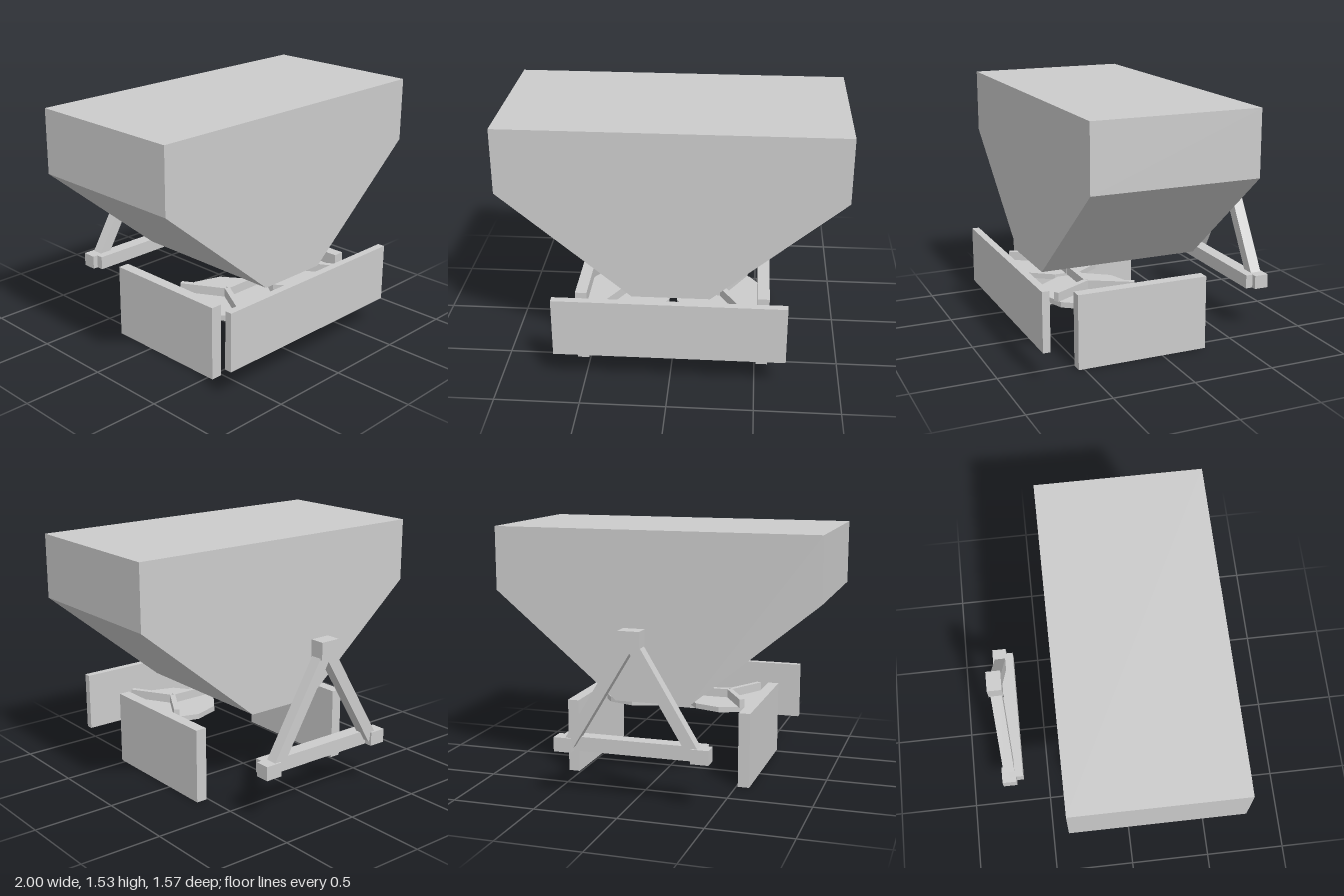
import * as THREE from 'three';

const material = new THREE.MeshStandardMaterial({ color: 0xcccccc, flatShading: true });

function add(parent, name, geometry, x = 0, y = 0, z = 0) {
  const mesh = new THREE.Mesh(geometry, material);
  mesh.name = name;
  mesh.position.set(x, y, z);
  parent.add(mesh);
  return mesh;
}

// Box given by its lower and upper corners
function box(parent, name, [x0, y0, z0], [x1, y1, z1]) {
  return add(parent, name, new THREE.BoxGeometry(x1 - x0, y1 - y0, z1 - z0),
    (x0 + x1) / 2, (y0 + y1) / 2, (z0 + z1) / 2);
}

export function createModel() {
  const model = new THREE.Group();
  model.name = 'spreader';

  // Hopper: funnel outline extruded front to back
  const outline = new THREE.Shape([
    [-0.23, 0.5], [0.23, 0.5], [1, 1.14], [1, 1.53], [-1, 1.53], [-1, 1.14],
  ].map(([x, y]) => new THREE.Vector2(x, y)));
  add(model, 'hopper', new THREE.ExtrudeGeometry(outline, { depth: 1, bevelEnabled: false }), 0, 0, -0.375);

  // Guard panels
  box(model, 'frontGuard', [-0.68, 0.185, 0.74], [0.68, 0.545, 0.785]);
  for (const s of [-1, 1]) {
    const side = s > 0 ? 'left' : 'right';
    add(model, side + 'Guard', new THREE.BoxGeometry(0.07, 0.457, 0.82), s * 0.545, 0.2285, 0.125);

    // Spinning disc with three radial vanes, mirrored on the other side
    const spinner = new THREE.Group();
    spinner.name = side + 'Spinner';
    spinner.position.set(s * 0.29, 0.35, 0.365);
    model.add(spinner);
    add(spinner, 'disc', new THREE.CylinderGeometry(0.28, 0.28, 0.033, 10), 0, 0.0165, 0);
    for (let i = 0; i < 3; i++) {
      const angle = (s > 0 ? Math.PI : 0) + i * Math.PI * 2 / 3;
      const vane = add(spinner, 'vane', new THREE.BoxGeometry(0.28, 0.055, 0.033),
        Math.cos(angle) * 0.145, 0.06, -Math.sin(angle) * 0.145);
      vane.rotation.y = angle;
    }
  }

  // Rear A-frame hitch
  const hitch = new THREE.Group();
  hitch.name = 'hitch';
  model.add(hitch);
  box(hitch, 'crossBar', [-0.43, 0.28, -0.735], [0.43, 0.365, -0.65]);
  box(hitch, 'topBlock', [-0.063, 0.905, -0.785], [0.063, 1.01, -0.695]);
  for (const s of [-1, 1]) {
    add(hitch, 'lowerBlock', new THREE.BoxGeometry(0.105, 0.085, 0.09), s * 0.41, 0.3225, -0.74);
    // Slanted leg from the lower block up to the top block
    const leg = add(hitch, 'leg', new THREE.BoxGeometry(0.07, 0.72, 0.07), s * 0.19, 0.635, -0.738);
    leg.rotation.z = s * Math.atan2(0.38, 0.63);
  }
  return model;
}
